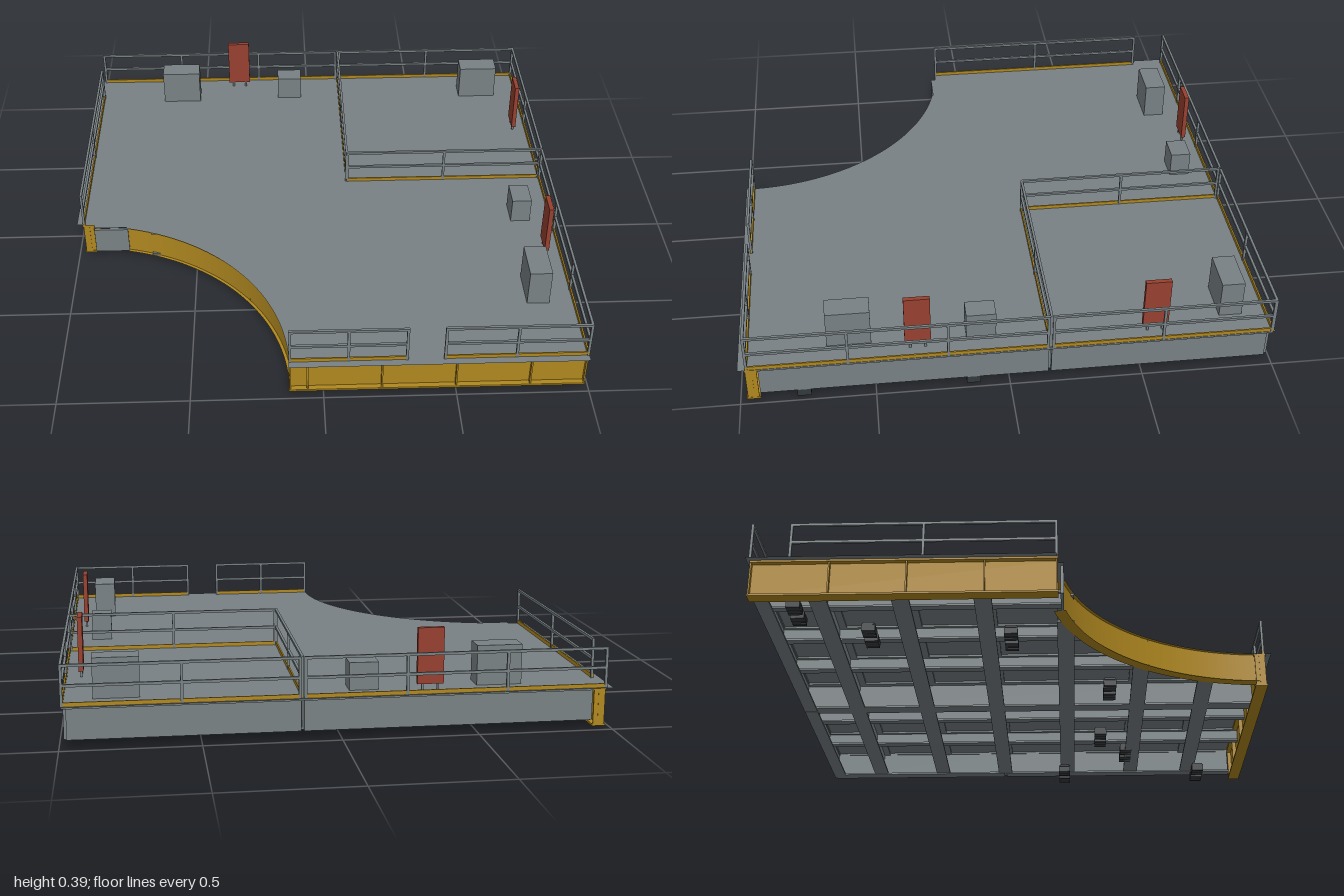
import * as THREE from 'three';

export function createModel() {
  const model = new THREE.Group();
  const material = (name, color) => {
    const m = new THREE.MeshStandardMaterial({ color, side: THREE.DoubleSide });
    m.name = name;
    return m;
  };
  const grey = material('steel grey', 0x788184);
  const yellow = material('safety yellow', 0xb08820);
  const red = material('panel red', 0x97402f);
  const dark = material('dark rubber', 0x33383b);

  const add = (parent, name, geometry, mat) => {
    const mesh = new THREE.Mesh(geometry, mat);
    mesh.name = name;
    parent.add(mesh);
    return mesh;
  };
  // Box given by its limits on each axis
  const box = (parent, name, mat, x0, x1, y0, y1, z0, z1) =>
    add(parent, name, new THREE.BoxGeometry(x1 - x0, y1 - y0, z1 - z0), mat)
      .position.set((x0 + x1) / 2, (y0 + y1) / 2, (z0 + z1) / 2);
  // Box running along x or z from a to b, with cross limits c0..c1
  const run = (parent, name, mat, axis, a, b, y0, y1, c0, c1) =>
    axis === 'x' ? box(parent, name, mat, a, b, y0, y1, c0, c1)
                 : box(parent, name, mat, c0, c1, y0, y1, a, b);
  const group = (name) => {
    const g = new THREE.Group();
    g.name = name;
    model.add(g);
    return g;
  };
  // I-beam: web and two flanges, with optional stiffener plates
  const iBeam = (name, mat, axis, a, b, c, y0, y1, width, stiffeners = []) => {
    const g = group(name);
    const t = 0.008, h = width / 2;
    run(g, 'web', mat, axis, a, b, y0 + t, y1 - t, c - 0.004, c + 0.004);
    run(g, 'bottomFlange', mat, axis, a, b, y0, y0 + t, c - h, c + h);
    run(g, 'topFlange', mat, axis, a, b, y1 - t, y1, c - h, c + h);
    for (const s of stiffeners)
      run(g, 'stiffener', mat, axis, s - 0.003, s + 0.003, y0 + t, y1 - t, c - h + 0.004, c + h - 0.004);
  };

  // Deck plate with a quarter-round cutout
  const CX = -0.985, CZ = 0.985, R = 0.857, T0 = 0.05, T1 = 1.34, DECK = 0.157;
  const outline = new THREE.Shape();
  outline.moveTo(-0.998, 1);
  outline.lineTo(-0.998, -0.12);
  outline.lineTo(-0.925, -0.125);
  outline.lineTo(-0.925, -0.146);
  outline.lineTo(-0.79, -0.146);
  outline.absarc(CX, -CZ, R, T1, T0, true);
  outline.lineTo(-0.13, -0.998);
  outline.lineTo(0.99, -0.998);
  outline.lineTo(0.99, 1);
  add(model, 'deck', new THREE.ShapeGeometry(outline, 32).rotateX(-Math.PI / 2), grey).position.y = DECK;

  // Curved girder along the cutout
  const curved = group('curvedGirder');
  const web = new THREE.CylinderGeometry(R + 0.012, R + 0.012, 0.12, 32, 1, true, Math.PI / 2 + T0, T1 - T0);
  add(curved, 'curvedWeb', web, yellow).position.set(CX, 0.095, CZ);
  for (const y of [0.034, 0.155]) {
    const flange = new THREE.RingGeometry(R, R + 0.045, 32, 1, T0, T1 - T0).rotateX(-Math.PI / 2);
    add(curved, 'curvedFlange', flange, yellow).position.set(CX, y, CZ);
  }
  box(model, 'cutoutEndPlate', grey, -0.925, -0.785, 0.032, 0.145, 0.133, 0.145);

  // Yellow edge beams on the front and right
  iBeam('frontBeam', yellow, 'x', -0.13, 0.988, 0.95, 0.012, 0.156, 0.05, [-0.125, -0.06, 0.22, 0.5, 0.78, 0.984]);
  iBeam('sideBeam', yellow, 'z', -0.988, 0.125, -0.95, 0.012, 0.156, 0.05, [-0.984, -0.7, -0.42, -0.14, 0.12]);

  // Grey channels on the back and left, each in two lengths
  for (const [axis, a, b, c, inward] of [
    ['z', -0.97, -0.155, 0.976, -1], ['z', -0.145, 0.925, 0.976, -1],
    ['x', -0.925, 0.137, -0.976, 1], ['x', 0.147, 0.972, -0.976, 1],
  ]) {
    const g = group('edgeChannel');
    run(g, 'channelWeb', grey, axis, a, b, 0.034, 0.148, c - 0.006, c + 0.006);
    const lo = Math.min(c, c + inward * 0.05), hi = Math.max(c, c + inward * 0.05);
    run(g, 'channelFlange', grey, axis, a, b, 0.032, 0.04, lo, hi);
  }
  box(model, 'deckEdgeLeft', grey, 0.965, 0.988, 0.148, 0.156, -0.99, 0.925);
  box(model, 'deckEdgeBack', grey, -0.925, 0.988, 0.148, 0.156, -0.99, -0.965);

  // Girders and cross beams below the deck, stopping at the cutout
  const arcReach = (d) => Math.sqrt(Math.max(0, (R + 0.03) ** 2 - d * d));
  for (const z of [-0.75, -0.45, -0.15, 0.15, 0.45, 0.72]) {
    const start = z > 0.1 ? CX + arcReach(CZ - z) : -0.945;
    iBeam('girder', grey, 'x', start, 0.97, z, 0.036, 0.155, 0.065);
  }
  iBeam('mainCrossGirder', grey, 'z', -0.97, 0.945, 0.14, 0.036, 0.155, 0.06);
  for (const x of [-0.7, -0.42, -0.14, 0.42, 0.7]) {
    const end = x < -0.1 ? CZ - arcReach(x - CX) : 0.945;
    iBeam('crossBeam', grey, 'z', -0.97, end, x, 0.095, 0.155, 0.035);
  }

  // Dark slatted pads under the frame
  for (const [x, y, z] of [
    [0.9, 0, 0.765], [0.9, 0, 0.135], [0.72, 0.035, 0.42], [0.52, 0.035, 0.3],
    [-0.02, 0.035, 0.33], [-0.52, 0.035, -0.06], [-0.56, 0.035, -0.6], [-0.76, 0.035, -0.85],
  ]) {
    const g = group('slattedPad');
    for (const side of [-1, 1])
      for (let i = 0; i < 3; i++) {
        const px = x + side * 0.045 + (i - 1) * 0.024;
        box(g, 'slat', dark, px - 0.009, px + 0.009, y, y + 0.03, z - 0.026, z + 0.026);
      }
    box(g, 'padPlate', dark, x - 0.08, x + 0.08, y + 0.025, y + 0.034, z - 0.022, z + 0.022);
  }

  // Railings: toe board, two rails and evenly spaced posts
  const railing = (axis, a, b, c, bays) => {
    const g = group('railing');
    const r = 0.005;
    run(g, 'toeBoard', yellow, axis, a, b, DECK, 0.172, c - 0.003, c + 0.003);
    for (const y of [0.232, 0.304]) run(g, 'rail', grey, axis, a, b, y - r, y + r, c - r, c + r);
    for (let i = 0; i <= bays; i++) {
      const p = a + r + ((b - a - 2 * r) * i) / bays;
      run(g, 'post', grey, axis, p - r, p + r, DECK, 0.304, c - r, c + r);
    }
  };
  railing('x', -0.13, 0.315, 0.965, 2);
  railing('x', 0.447, 0.99, 0.965, 2);
  railing('z', -0.85, 0.125, -0.968, 2);
  railing('x', -0.975, 0.137, -0.988, 3);
  railing('x', 0.147, 0.99, -0.988, 2);
  railing('z', -0.99, -0.155, 0.985, 2);
  railing('z', -0.145, 0.97, 0.985, 3);
  railing('z', -0.985, -0.15, 0.143, 2);
  railing('x', 0.143, 0.985, -0.15, 2);

  // Equipment cabinets on the deck
  for (const [x0, x1, z0, z1, top] of [
    [-0.68, -0.512, -0.897, -0.81, 0.306], [-0.145, -0.037, -0.907, -0.825, 0.26],
    [0.713, 0.88, -0.897, -0.81, 0.306], [0.817, 0.897, 0.043, 0.155, 0.26],
    [0.803, 0.89, 0.508, 0.673, 0.306],
  ]) box(model, 'cabinet', grey, x0, x1, DECK, top, z0, z1);

  // Red upright panels on short legs
  for (const [axis, a, b, c] of [
    ['x', -0.376, -0.279, -0.938], ['z', -0.6, -0.503, 0.927], ['z', 0.289, 0.386, 0.927],
  ]) {
    const g = group('uprightPanel');
    run(g, 'panel', red, axis, a, b, 0.182, 0.39, c - 0.009, c + 0.009);
    for (const p of [a + 0.02, b - 0.02])
      run(g, 'panelLeg', grey, axis, p - 0.004, p + 0.004, DECK, 0.182, c - 0.004, c + 0.004);
  }
  return model;
}
